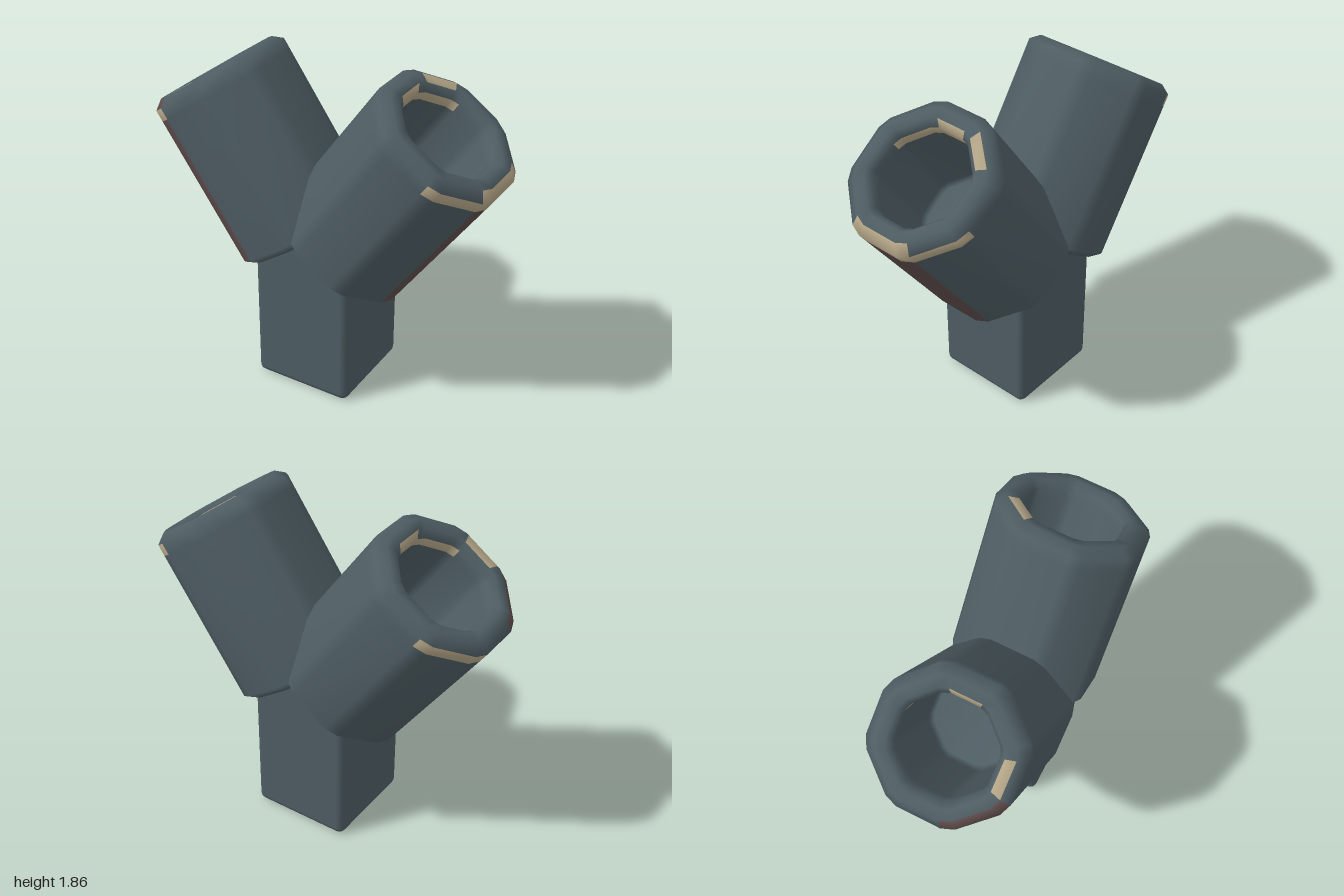
import * as THREE from 'three';
import { RoundedBoxGeometry } from 'three/addons/geometries/RoundedBoxGeometry.js';

const slate = new THREE.MeshStandardMaterial({ color: 0x4e5d63 });
slate.name = 'slate';
const rust = new THREE.MeshStandardMaterial({ color: 0x604e4d });
rust.name = 'rust';
const cream = new THREE.MeshStandardMaterial({ color: 0xb3a486 });
cream.name = 'cream';
const materials = [slate, rust, cream];
const SLATE = 0, RUST = 1, CREAM = 2;

// Wall profile of a barrel: [apothem, height along the axis]
const profile = [
  [0, 0], [0.335, 0], [0.385, 0.04], [0.385, 0.9], [0.385, 0.965], [0.335, 1.005],
  [0.28, 1.005], [0.25, 0.965], [0.25, 0.91], [0.25, 0.45], [0.23, 0.42], [0, 0.42],
];
const SIDES = 16; // eight flats, each followed by a narrow corner bevel

// Colour of one panel; even segments are flats, segment 0 faces outward
function panelColor(row, s, opts) {
  const signed = s > 8 ? s - SIDES : s;
  const offset = Math.abs(signed - 2 * opts.stripeFlat);
  if (row === 2 && offset <= 1) return RUST;                        // side stripe
  if (row === 3 && Math.abs(signed) <= 3) return CREAM;             // outer band
  if (row === 4 && offset <= 1) return opts.chamfer;                // rim chamfer
  if (row === 5 && s === 2 * opts.markFlat) return CREAM;           // rim mark
  if (row === 6 && s === 8) return CREAM;                           // inner chamfer
  if (row === 7 && s >= 5 && s <= 11) return CREAM;                 // inner lip
  return SLATE;
}

// Hollow octagonal barrel leaning outward to the given side
function makeBarrel(side, opts) {
  const tilt = THREE.MathUtils.degToRad(35);
  const c = Math.cos(tilt), sn = Math.sin(tilt);
  const positions = [];
  for (const [r, h] of profile) {
    const half = r * Math.tan(Math.PI / 8) - 0.04 * (r / 0.385);
    for (let i = 0; i < SIDES; i++) {
      const a = Math.floor(i / 2) * Math.PI / 4;
      const t = i % 2 ? half : -half;
      const u = -0.38 + r * Math.cos(a) - t * Math.sin(a);
      const z = r * Math.sin(a) + t * Math.cos(a);
      const v = 0.76 + h;
      positions.push(side * (u * c + v * sn), v * c - u * sn, z);
    }
  }
  const lists = [[], [], []];
  for (let row = 0; row < profile.length - 1; row++) {
    for (let s = 0; s < SIDES; s++) {
      const a = row * SIDES + s, d = row * SIDES + (s + 1) % SIDES;
      const b = a + SIDES, e = d + SIDES;
      const list = lists[panelColor(row, s, opts)];
      const tris = [];
      if (profile[row + 1][0] > 0) tris.push([a, b, e]);
      if (profile[row][0] > 0) tris.push([a, e, d]);
      if (profile[row + 1][0] === 0) tris[0] = [a, b, d];
      for (const [p, q, r] of tris) list.push(...(side > 0 ? [p, q, r] : [p, r, q]));
    }
  }
  const geometry = new THREE.BufferGeometry();
  geometry.setAttribute('position', new THREE.Float32BufferAttribute(positions, 3));
  geometry.setIndex(lists.flat());
  let start = 0;
  lists.forEach((list, m) => {
    geometry.addGroup(start, list.length, m);
    start += list.length;
  });
  geometry.computeVertexNormals();
  return new THREE.Mesh(geometry, materials);
}

export function createModel() {
  const model = new THREE.Group();
  model.name = 'forkedPipe';

  // Square stem, its top buried in the barrels
  const stem = new THREE.Mesh(new RoundedBoxGeometry(0.575, 1, 0.575, 2, 0.04), slate);
  stem.position.y = 0.5;
  stem.name = 'stem';
  model.add(stem);

  // Two leaning barrels with differing worn paint
  const left = makeBarrel(1, { stripeFlat: 0, chamfer: CREAM, markFlat: 5 });
  left.name = 'leftBarrel';
  const right = makeBarrel(-1, { stripeFlat: 1, chamfer: RUST, markFlat: 2 });
  right.name = 'rightBarrel';
  model.add(left, right);

  return model;
}
